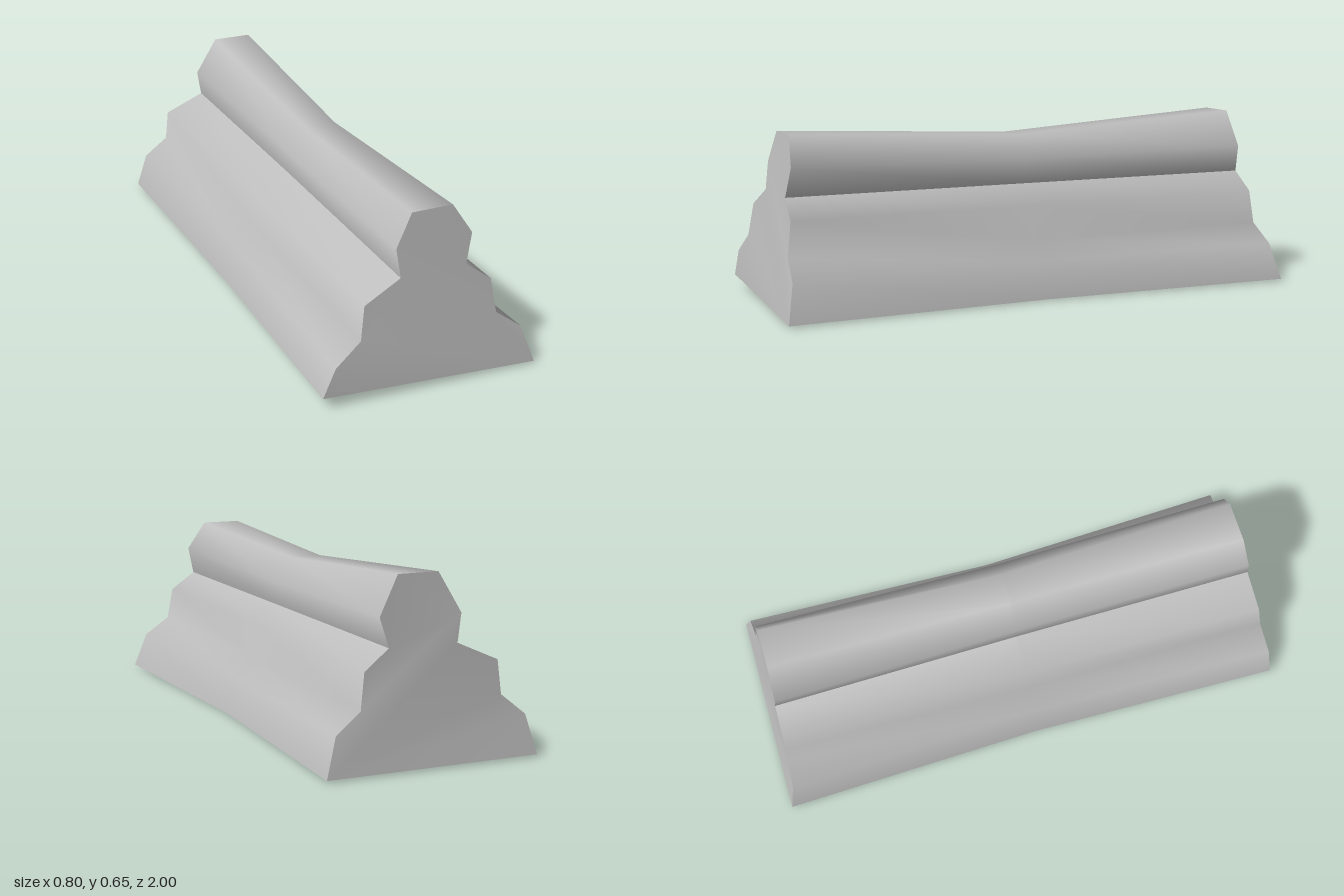
import * as THREE from 'three';

// Cross-sections [x, y, optional z], from the lower left (+x) edge over the head to the other edge
const FRONT = [[0.4, 0.008, 1], [0.355, 0.145], [0.26, 0.215], [0.242, 0.342], [0.148, 0.412],
  [0.175, 0.52], [0.105, 0.63], [-0.048, 0.63], [-0.112, 0.515],
  [-0.1, 0.412], [-0.238, 0.342], [-0.257, 0.222], [-0.355, 0.147], [-0.403, 0.045, 0.975]];
const MIDDLE = [[0.355, 0.005], [0.32, 0.14], [0.245, 0.21], [0.23, 0.338], [0.147, 0.412],
  [0.168, 0.505], [0.09, 0.592], [-0.032, 0.592], [-0.11, 0.505],
  [-0.1, 0.412], [-0.23, 0.338], [-0.25, 0.217], [-0.325, 0.142], [-0.366, 0]];
const BACK = [[0.4, 0.008, -1], [0.355, 0.145], [0.26, 0.215], [0.242, 0.342], [0.15, 0.412],
  [0.18, 0.515], [0.108, 0.652], [-0.043, 0.652], [-0.125, 0.51],
  [-0.107, 0.41], [-0.26, 0.342], [-0.27, 0.222], [-0.36, 0.148], [-0.393, 0.008, -1]];

// The ends lean inwards with height
const frontZ = (y) => (y < 0.2 ? 1 - 0.2 * y : 0.96 - 0.14 * (y - 0.2));
const backZ = (y) => (y < 0.2 ? -1 + 0.2 * y : -0.96 + 0.09 * (y - 0.2));

const place = (points, zAt) => points.map(([x, y, z]) => new THREE.Vector3(x, y, z ?? zAt(y)));

function indexed(points, index) {
  const geometry = new THREE.BufferGeometry().setFromPoints(points);
  geometry.setIndex(index);
  geometry.computeVertexNormals();
  return geometry;
}

// Smooth skin over profile points from..to, running front to back
function skin(sections, from, to) {
  const n = to - from + 1;
  const points = sections.flatMap((s) => s.slice(from, to + 1));
  const index = [];
  for (let s = 0; s < sections.length - 1; s++) {
    for (let i = 0; i < n - 1; i++) {
      const a = s * n + i, b = a + 1, c = a + n, d = c + 1;
      index.push(a, c, b, b, c, d);
    }
  }
  return indexed(points, index);
}

function endCap(section, reversed) {
  const outline = section.map((p) => new THREE.Vector2(p.x, p.y));
  const faces = THREE.ShapeUtils.triangulateShape(outline, []);
  return indexed(section, faces.flatMap(([a, b, c]) => (reversed ? [a, c, b] : [a, b, c])));
}

export function createModel() {
  const group = new THREE.Group();
  group.name = 'rail';
  const grey = new THREE.MeshStandardMaterial({ color: 0xbdbdbd, side: THREE.DoubleSide });
  grey.name = 'grey';

  const add = (name, geometry) => {
    const mesh = new THREE.Mesh(geometry, grey);
    mesh.name = name;
    group.add(mesh);
  };

  const front = place(FRONT, frontZ);
  const middle = place(MIDDLE, () => 0);
  const back = place(BACK, backZ);
  const sections = [front, middle, back];

  // Open-bottomed shell, creased at the neck and at the ends
  add('leftSide', skin(sections, 0, 4));
  add('head', skin(sections, 4, 9));
  add('rightSide', skin(sections, 9, 13));
  add('frontEnd', endCap(front, false));
  add('backEnd', endCap(back, true));
  return group;
}
